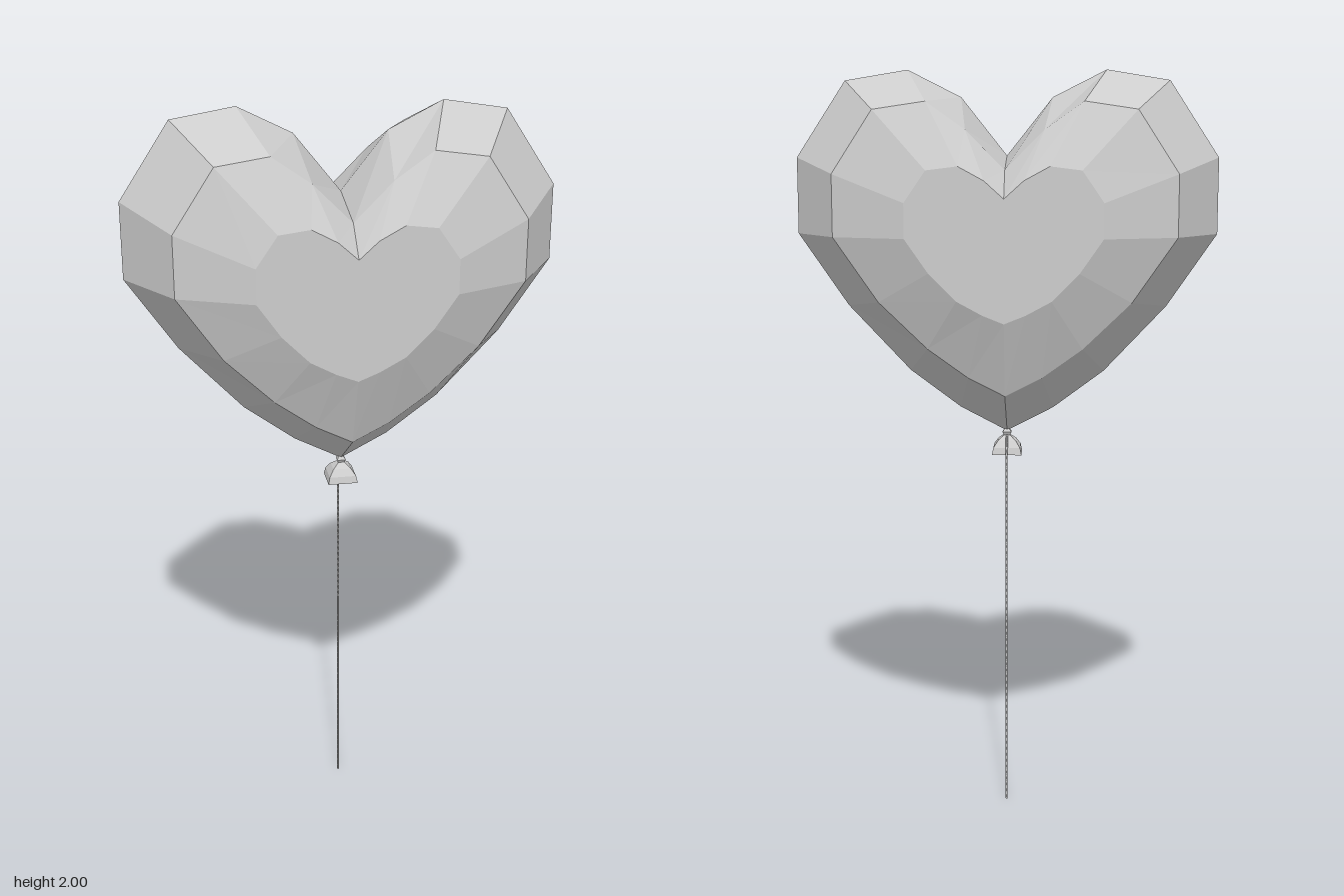
import * as THREE from 'three';

const grey = new THREE.MeshStandardMaterial({ color: 0xcccccc });
grey.name = 'balloon grey';

// Right half of each heart outline, from the cleft round to the tip
const outer = [[0, 1.78], [0.12, 1.93], [0.26, 2], [0.425, 1.973], [0.556, 1.775],
  [0.556, 1.576], [0.425, 1.385], [0.26, 1.21], [0.125, 1.11], [0, 1.045]];
const middle = [[0, 1.745], [0.1, 1.845], [0.2, 1.915], [0.335, 1.895], [0.44, 1.735],
  [0.44, 1.576], [0.325, 1.41], [0.2, 1.29], [0.095, 1.215], [0, 1.167]];
const inner = [[0, 1.675], [0.05, 1.72], [0.115, 1.755], [0.195, 1.745], [0.25, 1.665],
  [0.25, 1.576], [0.19, 1.49], [0.12, 1.42], [0.055, 1.385], [0, 1.363]];

// Mirror a half outline into a closed counter-clockwise loop
function heartLoop(half) {
  const right = [...half].reverse();
  const left = half.slice(1, -1).map(([x, y]) => [-x, y]);
  return [...right, ...left];
}

// Faceted heart: five heart-shaped rings with flat front and back caps
function heartGeometry() {
  const rings = [[inner, 0.26], [middle, 0.182], [outer, 0], [middle, -0.182], [inner, -0.26]];
  const n = 18, pos = [], index = [];
  for (const [half, z] of rings) {
    for (const [x, y] of heartLoop(half)) pos.push(x, y, z);
  }
  for (let k = 0; k < rings.length - 1; k++) {
    for (let i = 0; i < n; i++) {
      const j = (i + 1) % n;
      const a = k * n + i, b = k * n + j, c = a + n, d = b + n;
      index.push(a, c, b, b, c, d);
    }
  }
  const contour = heartLoop(inner).map(([x, y]) => new THREE.Vector2(x, y));
  const back = (rings.length - 1) * n;
  for (const [a, b, c] of THREE.ShapeUtils.triangulateShape(contour, [])) {
    index.push(a, b, c, back + a, back + c, back + b);
  }
  const geo = new THREE.BufferGeometry();
  geo.setAttribute('position', new THREE.Float32BufferAttribute(pos, 3));
  geo.setIndex(index);
  return flat(geo);
}

function flat(geo) {
  const g = geo.toNonIndexed();
  g.computeVertexNormals();
  return g;
}

export function createModel() {
  const model = new THREE.Group();
  model.name = 'heartBalloon';
  const add = (name, geo) => {
    const mesh = new THREE.Mesh(geo, grey);
    mesh.name = name;
    model.add(mesh);
  };

  add('heart', heartGeometry());

  // Square flared knot under the tip
  const profile = [[0, 0.984], [0.04, 0.984], [0.036, 1.003], [0.024, 1.021],
    [0.008, 1.034], [0.012, 1.042], [0.004, 1.055]]
    .map(([r, y]) => new THREE.Vector2(r * Math.SQRT2, y));
  add('knot', flat(new THREE.LatheGeometry(profile, 4, Math.PI / 4)));

  // String tied at the neck, then hanging straight down behind the knot
  const path = new THREE.CurvePath();
  const points = [[1.036, 0], [1.03, -0.02], [0.99, -0.045], [0, -0.045]]
    .map(([y, z]) => new THREE.Vector3(0, y, z));
  for (let i = 0; i < 3; i++) path.add(new THREE.LineCurve3(points[i], points[i + 1]));
  add('string', new THREE.TubeGeometry(path, 60, 0.003, 4, false));

  return model;
}
